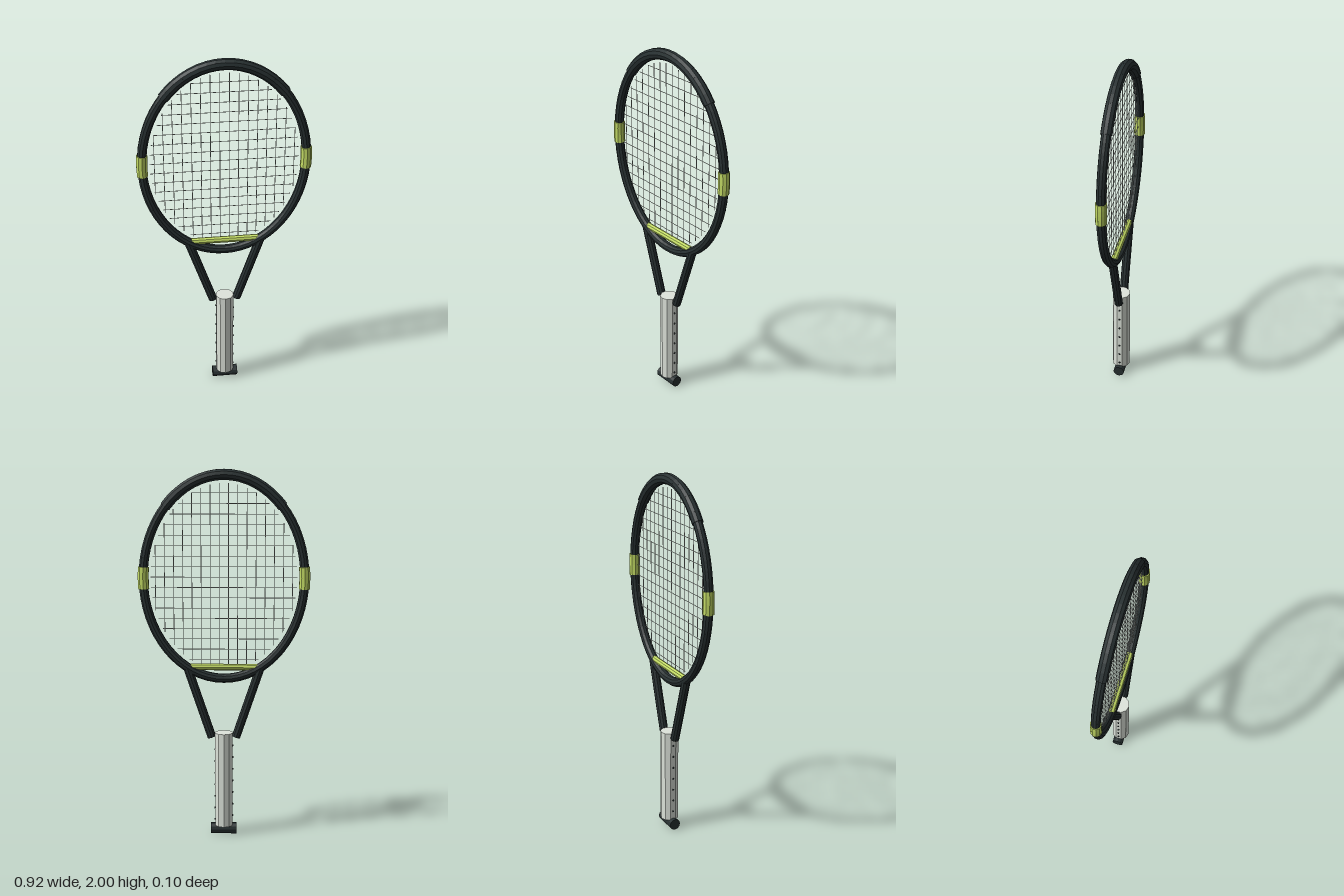
import * as THREE from 'three';

const CY = 1.425, RX = 0.43, RY = 0.545; // centre line of the oval head

const mat = (name, color) => {
  const m = new THREE.MeshStandardMaterial({ color });
  m.name = name;
  return m;
};

// Point on the head's oval at an angle
const onHead = (a) => [Math.cos(a) * RX, CY + Math.sin(a) * RY, 0];

export function createModel() {
  const model = new THREE.Group();
  model.name = 'tennisRacket';
  const black = mat('frameBlack', 0x283132);
  const green = mat('accentGreen', 0xc6de66);
  const grey = mat('gripGrey', 0xdfe5dc);
  const cord = mat('stringPale', 0xd4dad2);

  function group(name) {
    const g = new THREE.Group();
    g.name = name;
    model.add(g);
    return g;
  }

  // Straight faceted bar between two points; overlap lengthens it about its middle
  function bar(name, a, b, radius, sides, material, parent = model, overlap = 1) {
    const from = new THREE.Vector3(...a), to = new THREE.Vector3(...b);
    const dir = to.clone().sub(from);
    const geometry = new THREE.CylinderGeometry(radius, radius, dir.length() * overlap, sides).toNonIndexed();
    geometry.computeVertexNormals();
    const mesh = new THREE.Mesh(geometry, material);
    mesh.name = name;
    mesh.position.copy(from).add(to).multiplyScalar(0.5);
    mesh.quaternion.setFromUnitVectors(new THREE.Vector3(0, 1, 0), dir.normalize());
    parent.add(mesh);
  }

  // Chain of short overlapping bars along the head
  function chain(name, from, to, count, radius, material) {
    const g = group(name);
    const step = (to - from) / count;
    for (let i = 0; i < count; i++) {
      const a = from + i * step;
      bar(name + 'Segment', onHead(a), onHead(a + step), radius, 10, material, g, 1.1);
    }
  }

  // Head hoop, top bumper and side bands
  chain('headFrame', 0, Math.PI * 2, 64, 0.025, black);
  chain('bumperGuard', 0.77, Math.PI - 0.77, 16, 0.03, black);
  chain('leftBand', -0.106, 0.106, 4, 0.03, green);
  chain('rightBand', Math.PI - 0.106, Math.PI + 0.106, 4, 0.03, green);

  // Bridge and throat arms
  bar('throatBridge', [-0.187, 0.942, 0], [0.187, 0.942, 0], 0.018, 8, green);
  for (const s of [1, -1]) {
    bar(s > 0 ? 'leftThroatArm' : 'rightThroatArm', [s * 0.066, 0.553, 0], [s * 0.197, 0.94, 0], 0.024, 10, black);
  }

  // String bed
  const strings = group('strings');
  const SX = 0.39, SY = 0.5, R = 0.0018;
  for (let i = 0; i < 16; i++) {
    const x = (i - 7.5) * 0.0487;
    const h = SY * Math.sqrt(1 - (x / SX) ** 2);
    bar('mainString', [x, Math.max(CY - h, 0.945), 0], [x, CY + h, 0], R, 5, cord, strings);
  }
  for (let i = 0; i < 17; i++) {
    const y = 0.985 + i * 0.0556;
    const w = SX * Math.sqrt(1 - ((y - CY) / SY) ** 2);
    bar('crossString', [-w, y, 0], [w, y, 0], R, 5, cord, strings);
  }

  // Grip with the slanted wrap seams showing at its sides
  bar('grip', [0, 0.05, 0], [0, 0.577, 0], 0.05, 10, grey);
  const seams = group('gripSeams');
  for (let i = 0; i < 7; i++) {
    const y = 0.094 + i * 0.0665;
    bar('gripSeam', [-0.052, y + 0.012, 0], [0.052, y - 0.012, 0], 0.005, 6, black, seams);
  }

  // Butt cap lying across the end
  bar('buttCap', [-0.071, 0.031, 0], [0.071, 0.031, 0], 0.031, 12, black);

  return model;
}
